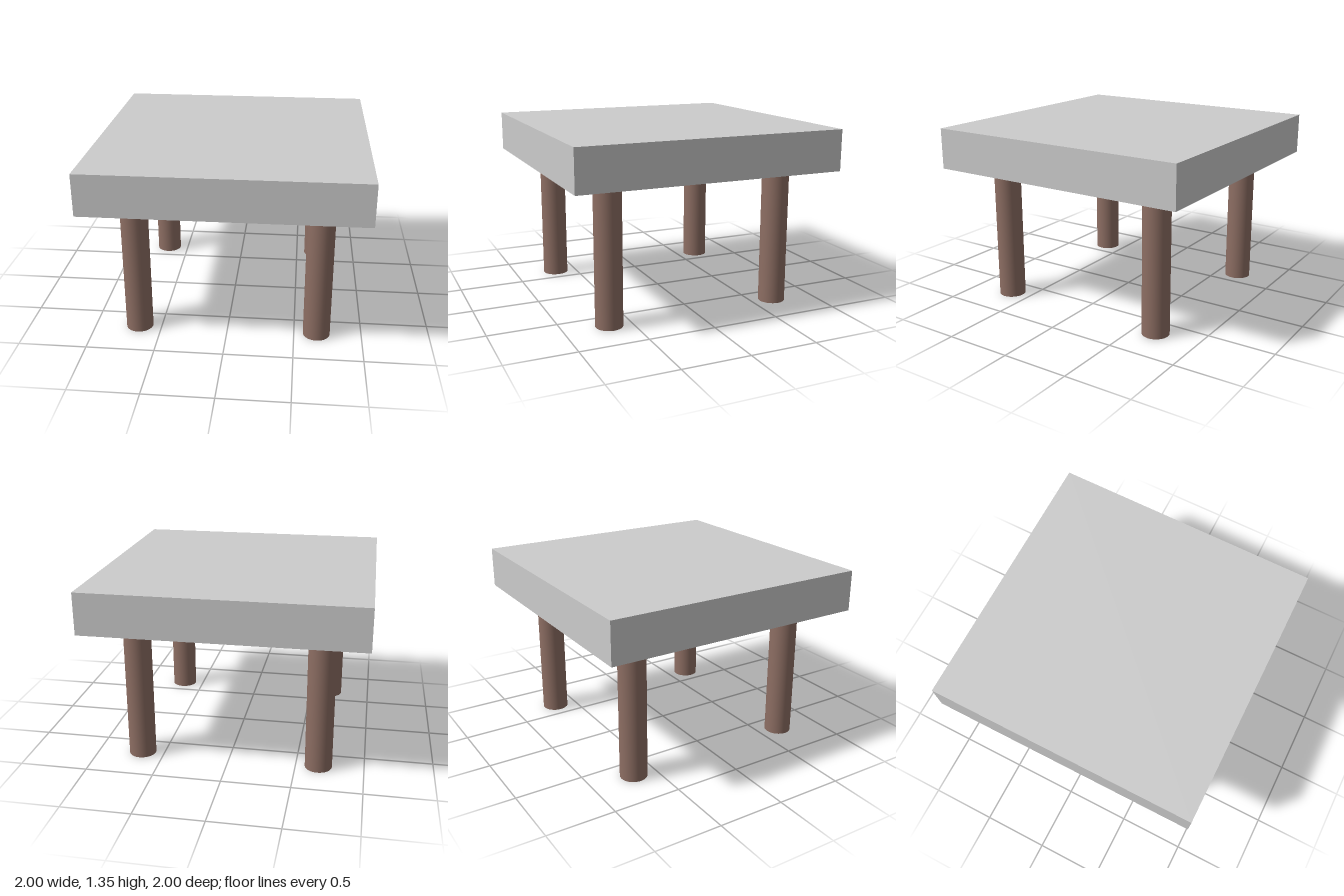
import * as THREE from 'three';

export function createModel() {
  const model = new THREE.Group();
  const grey = new THREE.MeshStandardMaterial({ color: 0xcccccc });
  const brown = new THREE.MeshStandardMaterial({ color: 0x8d6e63 });

  const topY = 1.345, apronY = 1.04, wall = 0.067;
  const ceilingY = topY - wall;

  // Square outline, used for the outer edge and the hollow underneath
  const square = (Type, h) => new Type([
    new THREE.Vector2(-h, -h), new THREE.Vector2(h, -h),
    new THREE.Vector2(h, h), new THREE.Vector2(-h, h),
  ]);

  const add = (name, geometry, material, x, y, z) => {
    const mesh = new THREE.Mesh(geometry, material);
    mesh.name = name;
    mesh.position.set(x, y, z);
    model.add(mesh);
  };

  // Solid slab on top
  add('tableTop', new THREE.BoxGeometry(2, wall, 2), grey, 0, topY - wall / 2, 0);

  // Apron frame hanging below the slab, open underneath
  const frame = square(THREE.Shape, 1);
  frame.holes.push(square(THREE.Path, 1 - wall));
  const apron = new THREE.ExtrudeGeometry(frame, { depth: ceilingY - apronY, bevelEnabled: false });
  apron.rotateX(-Math.PI / 2);
  add('apron', apron, grey, 0, apronY, 0);

  // Four round legs reaching up to the underside of the slab
  const leg = new THREE.CylinderGeometry(0.1, 0.1, ceilingY, 32);
  for (const [side, x] of [['Left', 0.667], ['Right', -0.667]]) {
    for (const [end, z] of [['front', 0.667], ['back', -0.667]]) {
      add(`${end}${side}Leg`, leg, brown, x, ceilingY / 2, z);
    }
  }

  return model;
}
